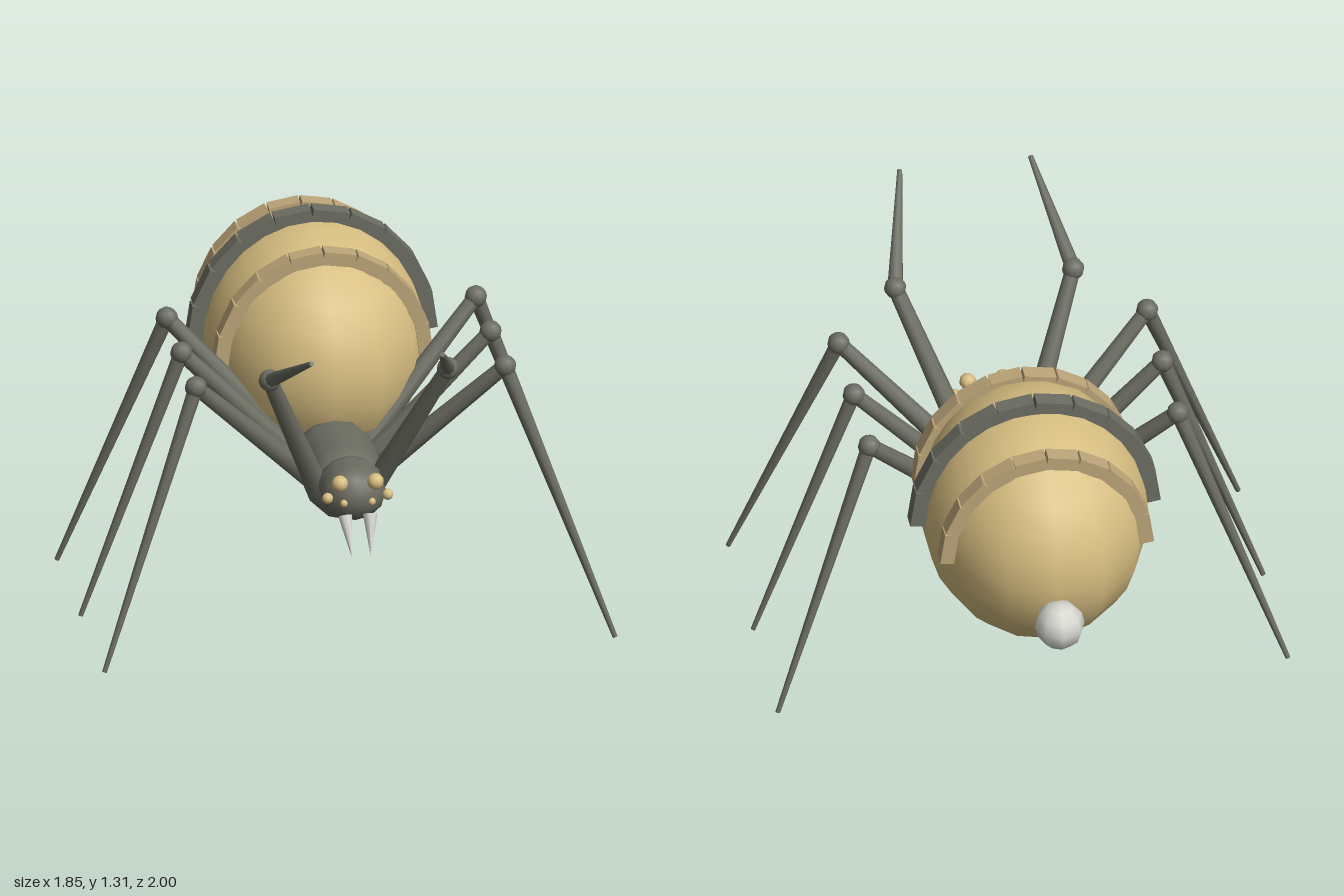
import * as THREE from 'three';

export function createModel() {
  const root = new THREE.Group();
  const paint = (name, color) => {
    const m = new THREE.MeshStandardMaterial({ color });
    m.name = name;
    return m;
  };
  const grey = paint('dark grey', 0x6c6d62);
  const sand = paint('sand', 0xd6bd80);
  const tan = paint('dull tan', 0xbda579);
  const ivory = paint('ivory', 0xd6d6d0);

  const add = (name, geometry, material, pos = [0, 0, 0], parent = root) => {
    const mesh = new THREE.Mesh(geometry, material);
    mesh.name = name;
    mesh.position.set(...pos);
    parent.add(mesh);
    return mesh;
  };
  const ball = (name, r, material, pos, w = 10, h = 8, parent = root) =>
    add(name, new THREE.SphereGeometry(r, w, h), material, pos, parent);

  // Tapered rod between two points
  const rod = (name, a, b, ra, rb, material, parent, sides = 8) => {
    const from = new THREE.Vector3(...a), to = new THREE.Vector3(...b);
    const dir = to.clone().sub(from);
    const mesh = add(name, new THREE.CylinderGeometry(rb, ra, dir.length(), sides), material,
      from.clone().add(to).multiplyScalar(0.5).toArray(), parent);
    mesh.quaternion.setFromUnitVectors(new THREE.Vector3(0, 1, 0), dir.normalize());
    return mesh;
  };

  // Abdomen: large ellipsoid
  const centre = [0, 0.8, -0.38], radii = [0.405, 0.445, 0.505];
  const abdomenShape = new THREE.SphereGeometry(1, 14, 14);
  abdomenShape.rotateY(Math.PI / 2);
  abdomenShape.scale(...radii);
  add('abdomen', abdomenShape, sand, centre);
  ball('spinneret', 0.09, ivory, [0, 0.67, -0.91], 8, 6);

  // Raised bands: rows of blocks arching over the abdomen
  const band = (name, z, lift, thick, material) => {
    const group = new THREE.Group();
    group.name = name;
    root.add(group);
    const k = Math.sqrt(1 - ((z - centre[2]) / radii[2]) ** 2);
    const rx = radii[0] * k + lift, ry = radii[1] * k + lift;
    const at = (t) => new THREE.Vector2(rx * Math.cos(t), centre[1] + ry * Math.sin(t));
    const count = 10;
    for (let i = 0; i < count; i++) {
      const a = at(Math.PI * i / count), b = at(Math.PI * (i + 1) / count);
      const d = b.clone().sub(a);
      const block = add('bandBlock', new THREE.BoxGeometry(d.length(), thick, 0.06), material,
        [(a.x + b.x) / 2, (a.y + b.y) / 2, z], group);
      block.rotation.z = Math.atan2(d.y, d.x);
    }
  };
  band('frontBand', -0.155, 0.008, 0.05, tan);
  band('middleBand', -0.395, 0.016, 0.06, grey);
  band('rearBand', -0.63, 0.008, 0.05, tan);

  // Thorax and head: capsules lying along z
  const capsule = (name, r, length, pos, sx) => {
    const g = new THREE.CapsuleGeometry(r, length, 4, 12);
    g.rotateX(Math.PI / 2);
    g.scale(sx, 1, 1);
    add(name, g, grey, pos);
  };
  capsule('thorax', 0.14, 0.2, [0, 0.54, 0.21], 1.03);
  capsule('head', 0.103, 0.06, [0, 0.58, 0.47], 1.12);

  // Leg joints on the left side: hip, knee, foot
  const legs = [
    ['frontLeg', [0.11, 0.55, 0.35], [0.32, 1.08, 0.61], [0.235, 1.306, 0.993]],
    ['secondLeg', [0.11, 0.53, 0.25], [0.555, 0.995, 0.435], [0.917, 0.004, 0.63]],
    ['thirdLeg', [0.11, 0.53, 0.13], [0.555, 0.995, 0.128], [0.917, 0.004, 0.128]],
    ['rearLeg', [0.11, 0.53, 0.02], [0.555, 0.995, -0.18], [0.917, 0.004, -0.37]],
  ];
  for (const s of [1, -1]) {
    const side = s > 0 ? 'left' : 'right';
    const flip = ([x, y, z]) => [x * s, y, z];
    for (const [name, hip, knee, foot] of legs) {
      const leg = new THREE.Group();
      leg.name = `${side} ${name}`;
      root.add(leg);
      rod('upperLeg', flip(hip), flip(knee), 0.04, 0.028, grey, leg);
      ball('knee', 0.04, grey, flip(knee), 10, 8, leg);
      rod('lowerLeg', flip(knee), flip(foot), 0.028, 0.009, grey, leg);
    }
    // Eyes and fangs
    ball(`${side} mainEye`, 0.03, sand, flip([0.064, 0.65, 0.585]));
    ball(`${side} outerEye`, 0.02, sand, flip([0.108, 0.597, 0.585]));
    ball(`${side} innerEye`, 0.014, sand, flip([0.05, 0.576, 0.592]));
    rod(`${side} fang`, flip([0.045, 0.525, 0.585]), flip([0.034, 0.4, 0.663]), 0.026, 0.001, ivory, root);
  }
  return root;
}
